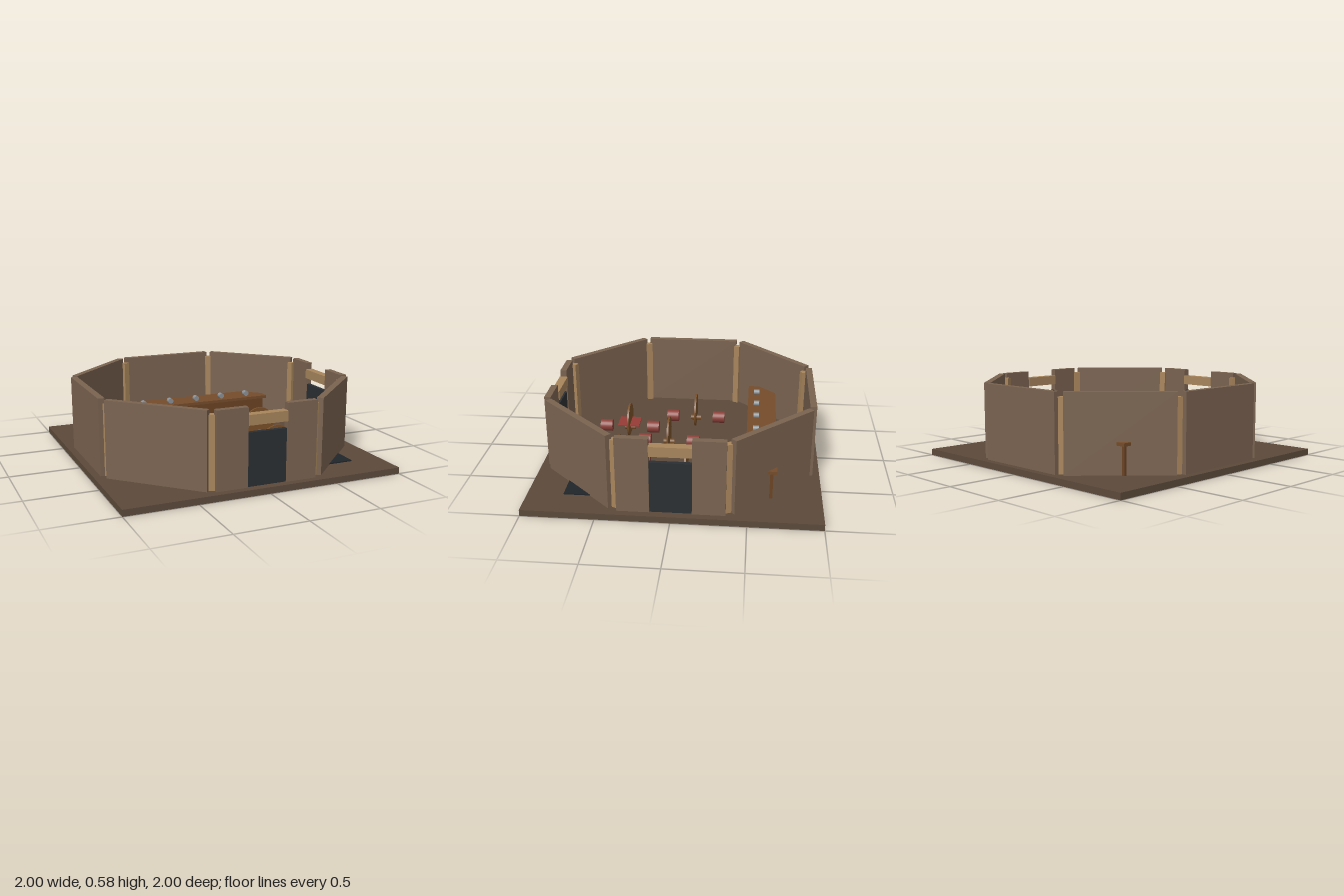
import * as THREE from 'three';

const FLOOR = 0.045, WALL_TOP = 0.58, APOTHEM = 0.927, WALL_LEN = 0.72, WALL_T = 0.046;

const paint = (color) => new THREE.MeshStandardMaterial({ color });
const mats = {
  floor: paint(0x5c4a3b), wall: paint(0x7a6350), timber: paint(0xa8855c),
  door: paint(0x2b2f33), mat: paint(0x20252a), counter: paint(0x744c2a),
  counterBody: paint(0x6b4424), table: paint(0x7a5028), stool: paint(0x8b3e37),
  cloth: paint(0x963c35), mug: paint(0x8b9196),
};

function add(parent, name, geometry, material, x, y, z) {
  const mesh = new THREE.Mesh(geometry, material);
  mesh.name = name;
  mesh.position.set(x, y, z);
  parent.add(mesh);
  return mesh;
}

const box = (w, h, d) => new THREE.BoxGeometry(w, h, d);

// Cylinder lying along z
const disc = (r, len, sides = 32) =>
  new THREE.CylinderGeometry(r, r, len, sides).rotateX(Math.PI / 2);

export function createModel() {
  const model = new THREE.Group();
  model.name = 'tavernRoom';

  add(model, 'floor', box(2, FLOOR, 2), mats.floor, 0, FLOOR / 2, 0);

  // Eight wall sides; the +z and +x sides have a doorway
  const h = WALL_TOP - FLOOR, midY = FLOOR + h / 2;
  for (let i = 0; i < 8; i++) {
    const side = new THREE.Group();
    side.name = 'wallSide' + i;
    side.rotation.y = (i * Math.PI) / 4;
    model.add(side);
    if (i === 0 || i === 2) {
      for (const s of [-1, 1])
        add(side, 'wallPanel', box(0.22, h, WALL_T), mats.wall, s * 0.25, midY, APOTHEM);
      add(side, 'door', box(0.28, 0.365, 0.03), mats.door, 0, FLOOR + 0.1825, APOTHEM);
      add(side, 'lintel', box(0.28, 0.07, 0.06), mats.timber, 0, 0.495, APOTHEM);
    } else {
      add(side, 'wallPanel', box(WALL_LEN, h, WALL_T), mats.wall, 0, midY, APOTHEM);
    }
    // Corner post between this side and the next
    const corner = new THREE.Group();
    corner.name = 'corner' + i;
    corner.rotation.y = ((i + 0.5) * Math.PI) / 4;
    model.add(corner);
    add(corner, 'cornerPost', box(0.045, 0.5, 0.045), mats.timber, 0, FLOOR + 0.25, 0.965);
  }

  // Bar counter with a row of mugs
  add(model, 'counterBody', box(1.4, 0.195, 0.165), mats.counterBody, 0, FLOOR + 0.0975, -0.5825);
  add(model, 'counterTop', box(1.44, 0.022, 0.215), mats.counter, 0, 0.25, -0.582);
  for (let i = 0; i < 6; i++)
    add(model, 'mug', disc(0.021, 0.042, 16), mats.mug, (i - 2.5) * 0.2225, 0.281, -0.54);

  // Tipped round tables, each with a stool on either side
  const tables = [[-0.445, -0.06], [0.445, -0.06], [0, 0.11], [-0.223, 0.44], [0.333, 0.44]];
  for (const [x, z] of tables) {
    const set = new THREE.Group();
    set.name = 'tableSet';
    set.position.set(x, 0, z);
    model.add(set);
    add(set, 'tableTop', disc(0.127, 0.014), mats.table, 0, 0.155, 0);
    add(set, 'tableStem', disc(0.019, 0.082, 16), mats.table, 0, 0.09, 0);
    for (const s of [-1, 1])
      add(set, 'stool', disc(0.046, 0.092, 24), mats.stool, 0, 0.098, s * 0.183);
  }

  // Red cloth at one table and a dark mat across the corner wall
  add(model, 'cloth', box(0.162, 0.008, 0.166), mats.cloth, -0.224, 0.134, 0.442);
  add(model, 'darkMat', box(0.258, 0.008, 0.275), mats.mat, 0.645, FLOOR + 0.004, 0.612);

  return model;
}
